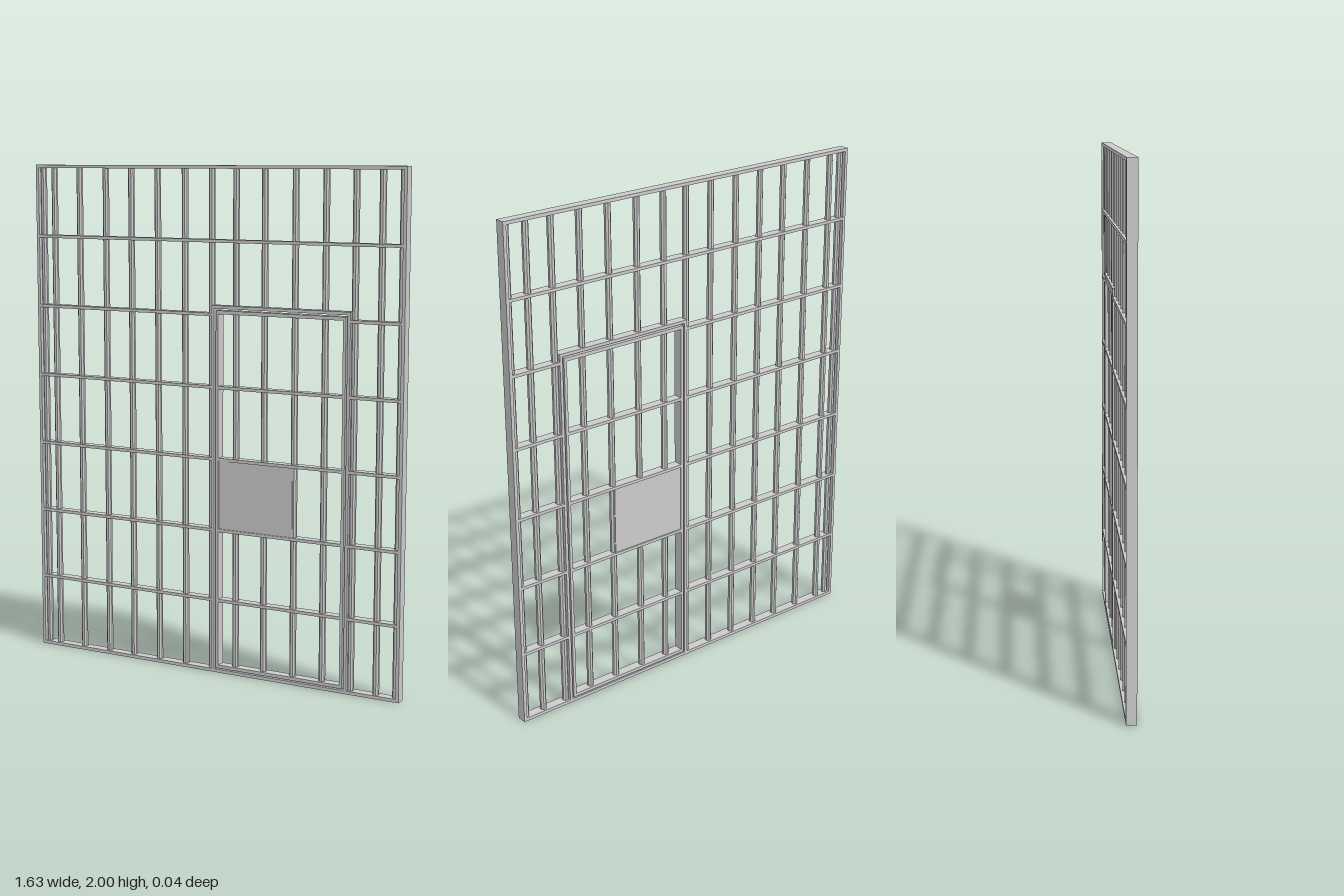
import * as THREE from 'three';

export function createModel() {
  const root = new THREE.Group();
  root.name = 'barredWall';
  const mat = new THREE.MeshStandardMaterial({ color: 0xcccccc, flatShading: true });
  const DEPTH = 0.04, T = 0.013, R = 0.013;

  // box given by its front rectangle
  const slab = (parent, name, x0, x1, y0, y1, depth = DEPTH) => {
    const m = new THREE.Mesh(new THREE.BoxGeometry(x1 - x0, y1 - y0, depth), mat);
    m.position.set((x0 + x1) / 2, (y0 + y1) / 2, 0);
    m.name = name;
    parent.add(m);
  };
  // upright round bar
  const bar = (parent, name, x, y0, y1) => {
    const m = new THREE.Mesh(new THREE.CylinderGeometry(R, R, y1 - y0, 8, 1, true), mat);
    m.geometry.rotateY(Math.PI / 8);
    m.position.set(x, (y0 + y1) / 2, 0);
    m.name = name;
    parent.add(m);
  };
  const group = (name) => {
    const g = new THREE.Group();
    g.name = name;
    root.add(g);
    return g;
  };

  // outer frame
  const frame = group('outerFrame');
  slab(frame, 'topRail', -0.815, 0.815, 2 - T, 2);
  slab(frame, 'bottomRail', -0.815, 0.815, 0, T);
  slab(frame, 'rightPost', -0.815, -0.815 + T, T, 2 - T);
  slab(frame, 'leftPost', 0.815 - T, 0.815, T, 2 - T);

  // doorway surround
  const surround = group('doorSurround');
  slab(surround, 'surroundTop', 0.005, 0.597, 1.453, 1.465);
  slab(surround, 'surroundRight', 0.005, 0.017, T, 1.453);
  slab(surround, 'surroundLeft', 0.585, 0.597, T, 1.453);

  // door leaf frame
  const door = group('door');
  slab(door, 'doorTop', 0.024, 0.579, 1.432, 1.446);
  slab(door, 'doorBottom', 0.024, 0.579, 0.018, 0.031);
  slab(door, 'doorStileRight', 0.024, 0.035, 0.031, 1.432);
  slab(door, 'doorStileLeft', 0.567, 0.579, 0.031, 1.432);

  // fixed full-height bars
  const fixed = group('fixedBars');
  for (const x of [-0.79, -0.737, -0.615, -0.49, -0.37, -0.248, -0.124, -0.003, 0.607, 0.713, 0.795])
    bar(fixed, 'bar', x, T, 2 - T);

  // bars in the door and above it
  for (const x of [0.104, 0.228, 0.358, 0.485]) {
    bar(door, 'doorBar', x, 0.031, 1.432);
    bar(fixed, 'barAboveDoor', x, 1.465, 2 - T);
  }

  // flat crossbars, interrupted by the doorway
  const cross = group('crossbars');
  for (let i = 1; i <= 6; i++) {
    const y = 0.0115 + i * 0.2835, y0 = y - 0.006, y1 = y + 0.006;
    if (i === 6) {
      slab(cross, 'crossbar', -0.802, 0.802, y0, y1);
      continue;
    }
    slab(cross, 'crossbarRight', -0.802, 0.005, y0, y1);
    slab(cross, 'crossbarLeft', 0.597, 0.802, y0, y1);
    if (i < 5) slab(door, 'doorCrossbar', 0.035, 0.567, y0, y1);
  }

  // lock plate
  slab(door, 'lockPlate', 0.035, 0.358, 0.584, 0.86, 0.03);
  return root;
}
